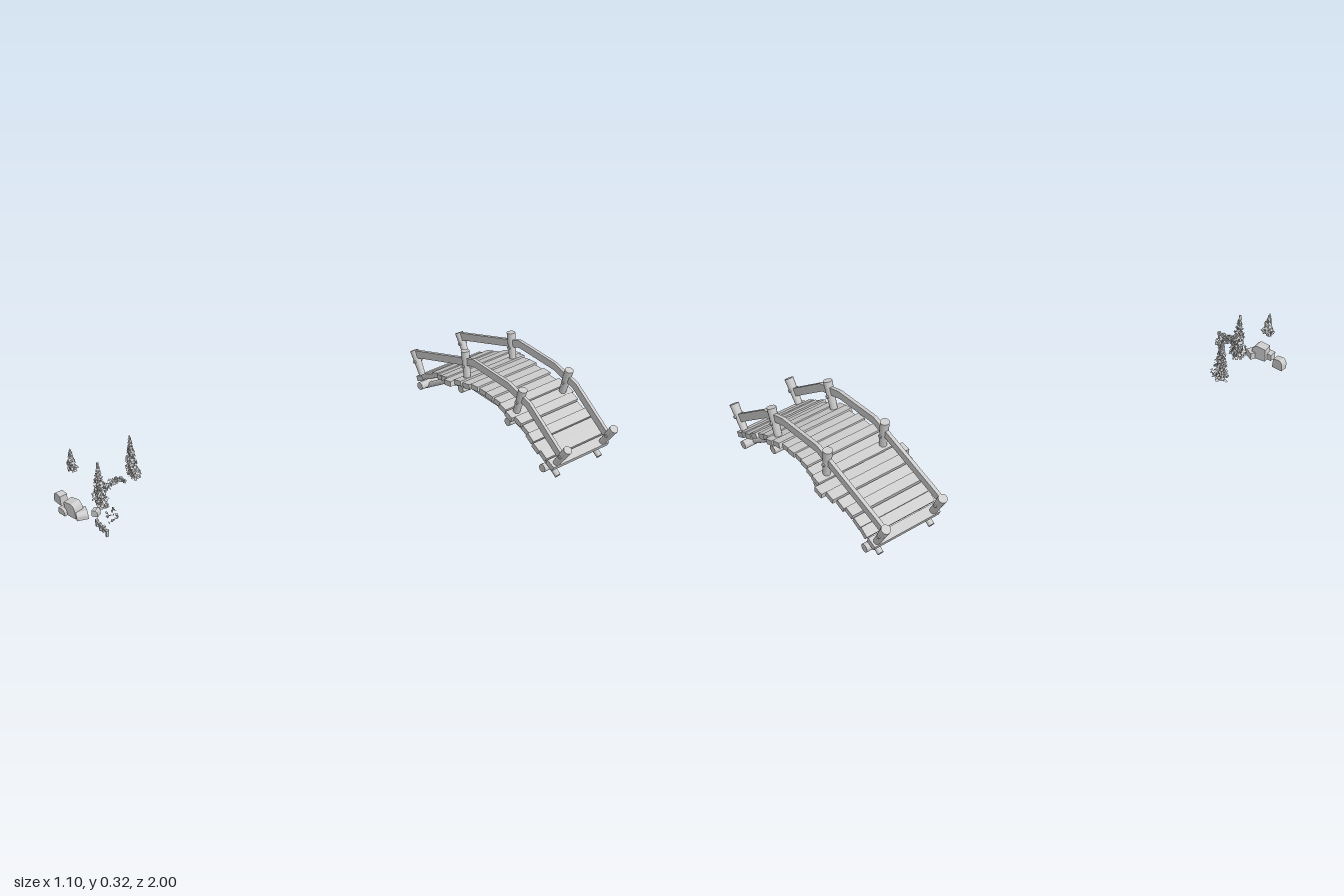
import * as THREE from 'three';
import { mergeGeometries, toCreasedNormals } from 'three/addons/utils/BufferGeometryUtils.js';

const mat = new THREE.MeshStandardMaterial({ color: 0xcccccc });
const leafMat = new THREE.MeshStandardMaterial({ color: 0xcccccc, flatShading: true, side: THREE.DoubleSide });
const V = (x, y, z) => new THREE.Vector3(x, y, z);

let seed = 7;
const rnd = (a = 0, b = 1) => {
  seed = (seed * 16807) % 2147483647;
  return a + (b - a) * seed / 2147483647;
};

function add(parent, name, geo, m = mat) {
  const mesh = new THREE.Mesh(geo, m);
  mesh.name = name;
  parent.add(mesh);
  return mesh;
}

// Round log between two points
function log(parent, name, a, b, r0, r1 = r0, sides = 14) {
  const d = b.clone().sub(a);
  const mesh = add(parent, name, new THREE.CylinderGeometry(r1, r0, d.length(), sides));
  mesh.position.copy(a).addScaledVector(d, 0.5);
  mesh.quaternion.setFromUnitVectors(V(0, 1, 0), d.normalize());
}

// Direction of an x,y path at point i
function slope(pts, i) {
  const a = pts[Math.max(0, i - 1)], b = pts[Math.min(pts.length - 1, i + 1)];
  return Math.atan2(b[1] - a[1], b[0] - a[0]);
}

// Bent log: a mitred ring of corners at each point of an x,y path
function bentLog(pts, z, r, sides) {
  const pos = [], idx = [], n = pts.length;
  pts.forEach(([x, y], i) => {
    const t = slope(pts, i), p = i * sides;
    for (let k = 0; k < sides; k++) {
      const q = (k / sides) * Math.PI * 2, u = r * Math.cos(q), k2 = (k + 1) % sides;
      pos.push(x - u * Math.sin(t), y + u * Math.cos(t), z + r * Math.sin(q));
      if (i < n - 1) idx.push(p + k, p + k2, p + sides + k, p + k2, p + sides + k2, p + sides + k);
    }
  });
  const e = (n - 1) * sides;
  for (let k = 1; k < sides - 1; k++) idx.push(0, k + 1, k, e, e + k, e + k + 1);
  const g = new THREE.BufferGeometry();
  g.setAttribute('position', new THREE.Float32BufferAttribute(pos, 3));
  g.setIndex(idx);
  return toCreasedNormals(g, 0.6);
}

// Flat board following an x,y path
function bentBoard(pts, z, h, depth) {
  const edge = s => pts.map(([x, y], i) => {
    const t = slope(pts, i);
    return new THREE.Vector2(x - s * h / 2 * Math.sin(t), y + s * h / 2 * Math.cos(t));
  });
  const shape = new THREE.Shape([...edge(-1), ...edge(1).reverse()]);
  return new THREE.ExtrudeGeometry(shape, { depth, bevelEnabled: false }).translate(0, 0, z - depth / 2);
}

function buildBridge() {
  const g = new THREE.Group();
  g.name = 'bridge';
  const zMid = -0.807;

  // Deck planks along the arch, each with its own length
  const deck = new THREE.CatmullRomCurve3([
    V(-0.345, 0.07, 0), V(-0.25, 0.13, 0), V(-0.13, 0.175, 0), V(0.04, 0.205, 0),
    V(0.22, 0.187, 0), V(0.33, 0.145, 0), V(0.465, 0.073, 0)]);
  const half = [0.145, 0.15, 0.15, 0.153, 0.16, 0.175, 0.193, 0.174, 0.166, 0.16,
    0.152, 0.157, 0.15, 0.162, 0.166, 0.153, 0.148, 0.158, 0.16, 0.155, 0.15];
  half.forEach((h, i) => {
    const u = i / (half.length - 1);
    const p = deck.getPointAt(u), t = deck.getTangentAt(u);
    const plank = add(g, 'plank', new THREE.BoxGeometry(0.041, 0.022, h * 2));
    plank.position.set(p.x, p.y + (i % 2 ? 0.003 : -0.002), zMid);
    plank.rotation.z = Math.atan2(t.y, t.x) + rnd(-0.1, 0.1);
  });

  // Cross logs under the deck
  [[-0.325, 0.045, 0.16], [-0.06, 0.165, 0.165], [0.222, 0.15, 0.16], [0.435, 0.045, 0.16]]
    .forEach(([x, y, l]) => log(g, 'crossLog', V(x, y, zMid - l), V(x, y, zMid + l), 0.017));

  const beam = [[-0.355, 0.014], [-0.21, 0.112], [-0.05, 0.166], [0.15, 0.166], [0.33, 0.113], [0.478, 0.014]];
  const rail = [[-0.405, 0.153], [-0.36, 0.171], [-0.15, 0.247], [-0.03, 0.291], [0.18, 0.286], [0.3, 0.255], [0.5, 0.119]];
  const posts = [[-0.412, 0.168, -0.345, 0.062], [-0.09, 0.318, -0.06, 0.15],
    [0.26, 0.306, 0.222, 0.15], [0.53, 0.168, 0.465, 0.062]];
  for (const s of [-1, 1]) {
    add(g, 'supportBeam', bentLog(beam, zMid + s * 0.113, 0.012, 14));
    const z = zMid + s * 0.124;
    add(g, 'handrail', bentBoard(rail, z, 0.032, 0.014));
    for (const [x1, y1, x0, y0] of posts) {
      log(g, 'post', V(x0, y0, z), V(x1, y1, z), 0.013, 0.018);
      // Peg fixing the rail to the post
      const k = 0.62, x = x0 + (x1 - x0) * k, y = y0 + (y1 - y0) * k;
      log(g, 'peg', V(x, y, z - 0.02), V(x, y, z + 0.02), 0.007);
    }
  }
  return g;
}

// Small leaf cards scattered over a spindle that is widest low down
function conifer(name, x, z, y0, y1, rx, rz) {
  const g = new THREE.Group();
  g.name = name;
  const parts = [], H = y1 - y0, count = Math.round(H * 1300);
  for (let i = 0; i < count; i++) {
    const f = i / count, a = i * 2.4;
    const w = (1 - f) * Math.min(1, 0.5 + f * 4) * rnd(0.3, 1.1) + 0.05;
    const size = 0.011 * (1.1 - 0.5 * f);
    const leaf = new THREE.PlaneGeometry(size, size * 1.2);
    leaf.rotateX(rnd(-1.2, 0.4)).rotateY(Math.PI / 2 - a + rnd(-0.6, 0.6));
    leaf.translate(x + Math.cos(a) * rx * w, y0 + f * (H - 0.008) + rnd(-0.004, 0.008), z + Math.sin(a) * rz * w);
    parts.push(leaf);
  }
  add(g, 'foliage', mergeGeometries(parts), leafMat);
  log(g, 'trunk', V(x, y0, z), V(x, y1, z), 0.004, 0.001, 5);
  return g;
}

// Loose leaf cards spread around points of a path
function scatter(parent, name, count, size, place) {
  const parts = [];
  for (let i = 0; i < count; i++) {
    const leaf = new THREE.PlaneGeometry(size, size * 1.2);
    leaf.rotateX(rnd(-1.4, 0.6)).rotateY(rnd(0, 6)).translate(...place(i / (count - 1)));
    parts.push(leaf);
  }
  add(parent, name, mergeGeometries(parts), leafMat);
}

// Stone with a rounded shoulder on one side
function rock(parent, x, y, z, w, h, d, turn) {
  const s = new THREE.Shape();
  s.moveTo(-w / 2, -h / 2);
  s.lineTo(w / 2, -h / 2);
  s.lineTo(w / 2, h * 0.05);
  s.quadraticCurveTo(w * 0.42, h * 0.42, w * 0.15, h / 2);
  s.lineTo(-w * 0.45, h * 0.42);
  const geo = new THREE.ExtrudeGeometry(s, { depth: d, bevelEnabled: false, curveSegments: 4 });
  const m = add(parent, 'rock', geo.translate(0, 0, -d / 2));
  m.position.set(x, y, z);
  m.rotation.y = turn;
}

function buildGrove() {
  const g = new THREE.Group();
  g.name = 'grove';
  g.add(conifer('backTree', -0.46, 0.675, 0.06, 0.25, 0.045, 0.024));
  g.add(conifer('middleTree', -0.383, 0.86, 0.045, 0.245, 0.044, 0.03));
  g.add(conifer('smallTree', -0.482, 0.917, 0.18, 0.277, 0.026, 0.02));

  // Low branch beside the middle tree
  scatter(g, 'branch', 40, 0.012, f =>
    [-0.368 + rnd(-0.018, 0.018), 0.128 + 0.02 * Math.sin(f * Math.PI), 0.76 + f * 0.09]);

  // Stones
  rock(g, -0.428, 0.052, 0.955, 0.062, 0.06, 0.042, 0.25);
  rock(g, -0.398, 0.036, 0.94, 0.05, 0.03, 0.045, -0.3);
  rock(g, -0.455, 0.036, 0.978, 0.036, 0.028, 0.034, 0.2);
  rock(g, -0.527, 0.044, 0.956, 0.046, 0.044, 0.032, Math.PI + 0.1);
  rock(g, -0.365, 0.042, 0.895, 0.026, 0.028, 0.026, 0.6);

  // Short uneven fence
  for (let i = 0; i < 4; i++) {
    const post = add(g, 'fencePost', new THREE.BoxGeometry(0.009, 0.032, 0.011));
    post.position.set(-0.303 + i * 0.025, 0.042 + rnd(-0.004, 0.004), 0.925);
    post.rotation.z = rnd(-0.25, 0.25);
  }
  const bar = add(g, 'fenceRail', new THREE.BoxGeometry(0.088, 0.009, 0.008));
  bar.position.set(-0.264, 0.047, 0.925);

  // Loose grass tuft
  scatter(g, 'grassTuft', 22, 0.009, () =>
    [-0.282 + rnd(-0.028, 0.028), rnd(0.035, 0.08), 0.863 + rnd(-0.025, 0.025)]);
  return g;
}

export function createModel() {
  const model = new THREE.Group();
  model.name = 'footbridgeScene';
  model.add(buildBridge(), buildGrove());
  return model;
}
